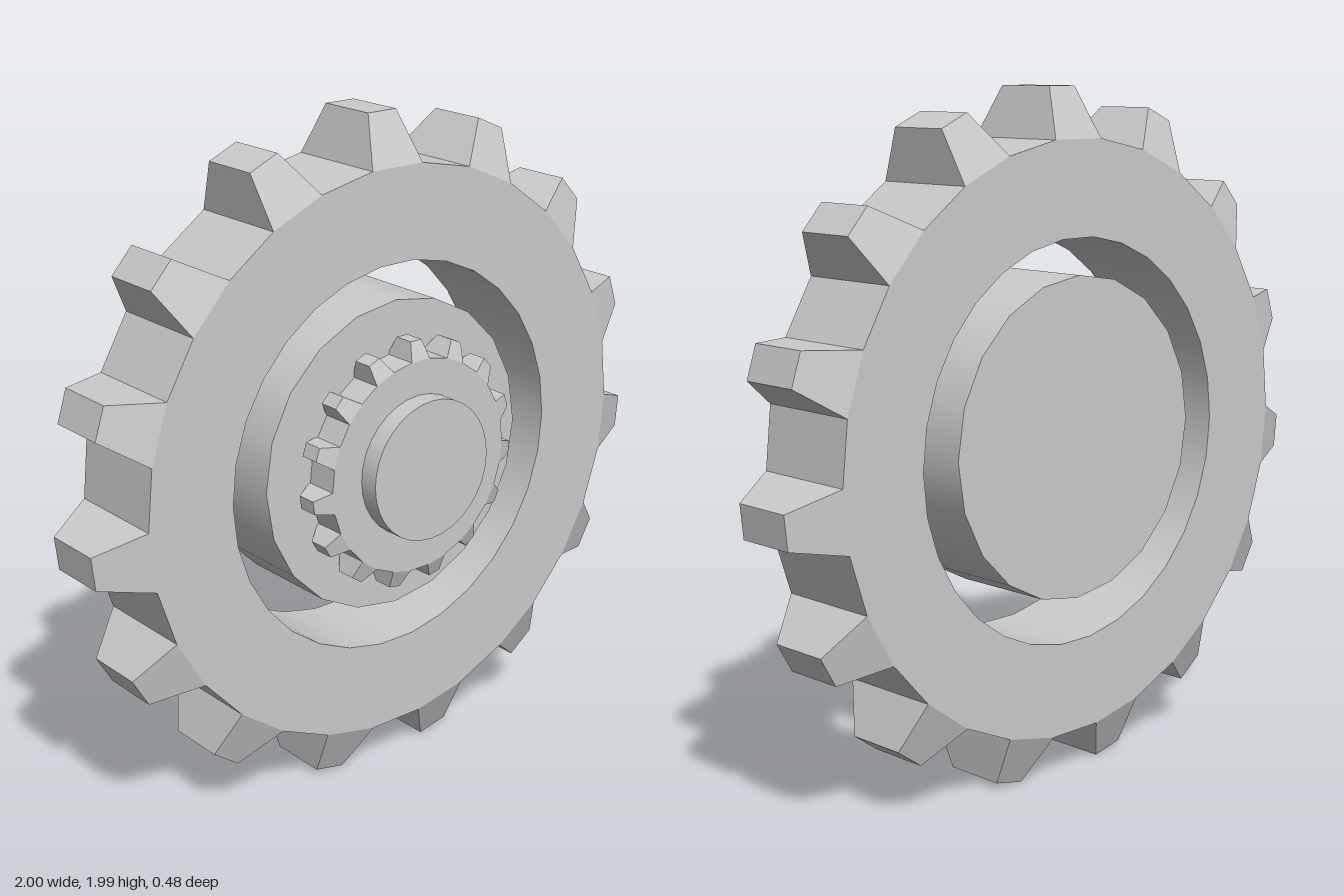
import * as THREE from 'three';

const TEETH = 15;

function mesh(name, geometry, material) {
  const m = new THREE.Mesh(geometry, material);
  m.name = name;
  return m;
}

// Cylinder lying along z between two depths
function disc(radius, z0, z1, sides, open = false, thetaStart = 0) {
  return new THREE.CylinderGeometry(radius, radius, z1 - z0, sides, 1, open, thetaStart)
    .rotateX(Math.PI / 2)
    .translate(0, 0, (z0 + z1) / 2);
}

// Flat-sided gear ring: every other side of the rim carries a tapered tooth
function gearGeometry({ inner, root, tip, tipHalf, z0, z1, tipZ0, tipZ1 }) {
  const pos = [];
  const quad = (a, b, c, d) => pos.push(...a, ...b, ...c, ...a, ...c, ...d);
  const step = Math.PI / TEETH;
  const at = (r, angle, z) => [r * Math.cos(angle), r * Math.sin(angle), z];

  for (let i = 0; i < TEETH * 2; i++) {
    const mid = Math.PI / 2 + i * step;
    const a = mid - step / 2, b = mid + step / 2;
    const aF = at(root, a, z1), bF = at(root, b, z1);
    const aB = at(root, a, z0), bB = at(root, b, z0);

    // front and back faces
    quad(at(inner, a, z1), aF, bF, at(inner, b, z1));
    quad(at(inner, b, z0), bB, aB, at(inner, a, z0));

    if (i % 2) {
      // valley between teeth
      quad(aF, aB, bB, bF);
    } else {
      // tooth: four sloping sides and a flat tip
      const spread = Math.atan2(tipHalf, tip), r = Math.hypot(tip, tipHalf);
      const taF = at(r, mid - spread, tipZ1), tbF = at(r, mid + spread, tipZ1);
      const taB = at(r, mid - spread, tipZ0), tbB = at(r, mid + spread, tipZ0);
      quad(taF, taB, tbB, tbF);
      quad(aF, taF, tbF, bF);
      quad(bB, tbB, taB, aB);
      quad(aB, taB, taF, aF);
      quad(bF, tbF, tbB, bB);
    }
  }
  const g = new THREE.BufferGeometry();
  g.setAttribute('position', new THREE.Float32BufferAttribute(pos, 3));
  g.computeVertexNormals();
  return g;
}

export function createModel() {
  const model = new THREE.Group();
  model.name = 'gearAssembly';
  const smooth = new THREE.MeshStandardMaterial({ color: 0xcccccc });
  const flat = new THREE.MeshStandardMaterial({ color: 0xcccccc, flatShading: true });
  const bore = new THREE.MeshStandardMaterial({ color: 0xcccccc, side: THREE.BackSide });

  // Large outer gear ring with its smooth bore
  const largeGear = new THREE.Group();
  largeGear.name = 'largeGear';
  largeGear.position.y = 0.989;
  largeGear.add(
    mesh('largeGearRing', gearGeometry({
      inner: 0.585, root: 0.86, tip: 1, tipHalf: 0.05,
      z0: -0.24, z1: 0.078, tipZ0: -0.175, tipZ1: 0.01,
    }), flat),
    mesh('largeGearBore', disc(0.585, -0.24, 0.078, TEETH * 2, true, Math.PI / 30), bore),
  );

  // Small gear on the front of the core
  const smallGear = mesh('smallGear', gearGeometry({
    inner: 0.15, root: 0.32, tip: 0.372, tipHalf: 0.02,
    z0: 0.075, z1: 0.18, tipZ0: 0.098, tipZ1: 0.158,
  }), flat);
  smallGear.position.y = 0.993;

  // Solid core and front hub
  const core = mesh('coreDisc', disc(0.467, -0.24, 0.08, 20), smooth);
  const hub = mesh('hub', disc(0.21, 0.07, 0.24, 32), smooth);
  for (const part of [core, hub]) part.position.set(-0.007, 1, 0);

  model.add(largeGear, smallGear, core, hub);
  return model;
}
